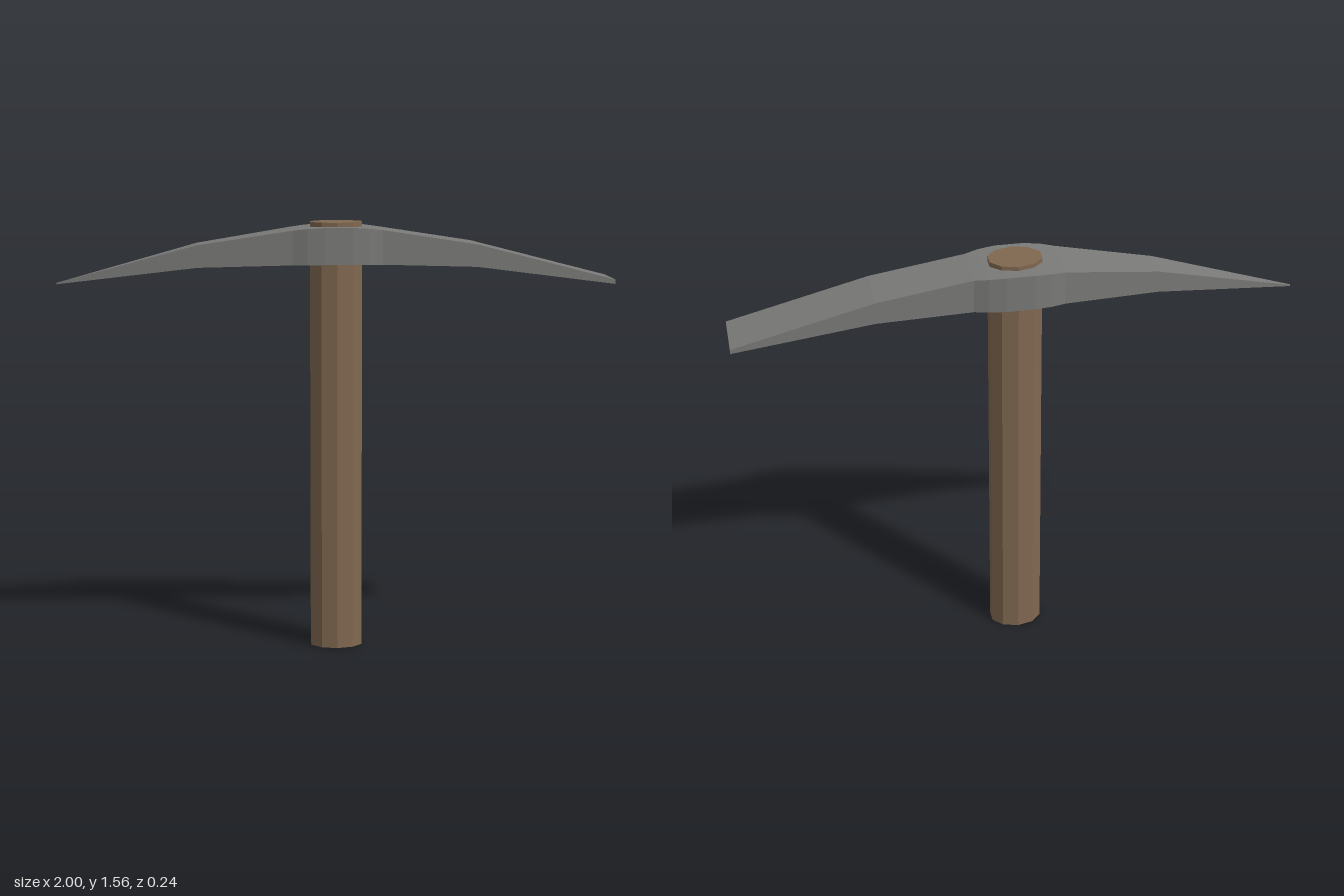
import * as THREE from 'three';

// Skins four-cornered cross-sections [x, bottom, top, half depth], ordered along +x
function loftSections(sections) {
  const positions = [];
  const index = [];
  for (const [x, bottom, top, d] of sections) {
    positions.push(x, bottom, d, x, top, d, x, top, -d, x, bottom, -d);
  }
  for (let s = 0; s < sections.length - 1; s++) {
    for (let k = 0; k < 4; k++) {
      const a = s * 4 + k, b = s * 4 + (k + 1) % 4;
      index.push(a, a + 4, b, b, a + 4, b + 4);
    }
  }
  // End caps
  const e = (sections.length - 1) * 4;
  index.push(0, 1, 2, 0, 2, 3, e, e + 2, e + 1, e, e + 3, e + 2);

  const geometry = new THREE.BufferGeometry();
  geometry.setAttribute('position', new THREE.Float32BufferAttribute(positions, 3));
  geometry.setIndex(index);
  const flat = geometry.toNonIndexed();
  flat.computeVertexNormals();
  return flat;
}

export function createModel() {
  const group = new THREE.Group();
  const wood = new THREE.MeshStandardMaterial({ color: 0x806850, flatShading: true });
  const metal = new THREE.MeshStandardMaterial({ color: 0x7a7a78, flatShading: true });

  // Ten-sided oval handle, poking slightly out of the head
  const height = 1.56;
  const handle = new THREE.Mesh(new THREE.CylinderGeometry(1, 1, height, 10), wood);
  handle.name = 'handle';
  handle.scale.set(0.097, 1, 0.075);
  handle.position.y = height / 2;
  group.add(handle);

  // Curved head: pointed pick at -x, swollen eye, flat chisel blade at +x
  const head = new THREE.Mesh(loftSections([
    [-1.0, 1.342, 1.347, 0.002],
    [-0.5, 1.402, 1.482, 0.058],
    [-0.16, 1.412, 1.535, 0.097],
    [-0.11, 1.413, 1.541, 0.112],
    [-0.05, 1.414, 1.545, 0.12],
    [0.05, 1.414, 1.545, 0.12],
    [0.11, 1.413, 1.541, 0.112],
    [0.16, 1.412, 1.535, 0.097],
    [0.5, 1.402, 1.482, 0.097],
    [1.0, 1.337, 1.353, 0.097],
  ]), metal);
  head.name = 'pickHead';
  group.add(head);

  return group;
}
